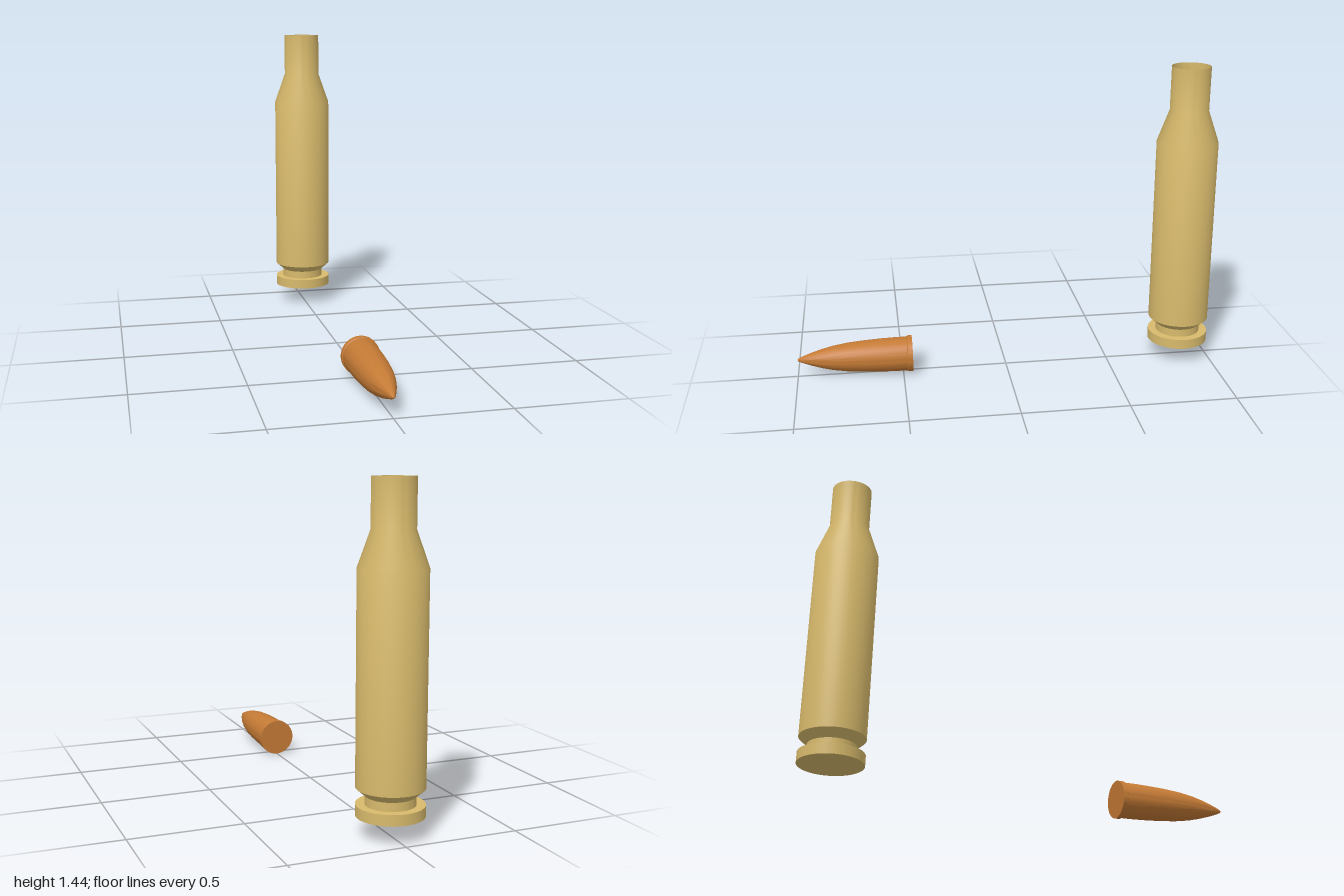
import * as THREE from 'three';
import { toCreasedNormals } from 'three/addons/utils/BufferGeometryUtils.js';

const SEGMENTS = 64;

// Turned part from [radius, height] pairs, smooth with sharp rims
function turned(name, profile, color, side = THREE.FrontSide) {
  const points = profile.map(([r, h]) => new THREE.Vector2(r, h));
  const geometry = toCreasedNormals(new THREE.LatheGeometry(points, SEGMENTS), Math.PI / 6);
  const mesh = new THREE.Mesh(geometry, new THREE.MeshStandardMaterial({ color, side }));
  mesh.name = name;
  return mesh;
}

export function createModel() {
  const model = new THREE.Group();
  model.name = 'separatedCartridge';

  // Upright thin-walled casing: base rim, extractor groove, body, shoulder, open neck
  const casing = turned('casing', [
    [0, 0.09], [0.143, 0.09], [0.143, 0.137], [0.105, 0.137],
    [0.105, 0.174], [0.143, 0.207], [0.143, 1.09],
    [0.09, 1.24], [0.09, 1.445],
  ], 0xd8ba6c, THREE.DoubleSide);
  casing.position.z = -0.857;
  model.add(casing);

  // Bullet lying along +z: flat base, raised band, ogive nose
  const bullet = turned('bullet', [
    [0, 0], [0.086, 0], [0.086, 0.023], [0.081, 0.026],
    [0.081, 0.08], [0.079, 0.15], [0.075, 0.23], [0.068, 0.31],
    [0.058, 0.375], [0.045, 0.43], [0.03, 0.48], [0.014, 0.525],
    [0.006, 0.541], [0, 0.545],
  ], 0xc47a35);
  bullet.rotation.x = Math.PI / 2;
  bullet.position.set(0, 0.088, 0.455);
  model.add(bullet);

  return model;
}
